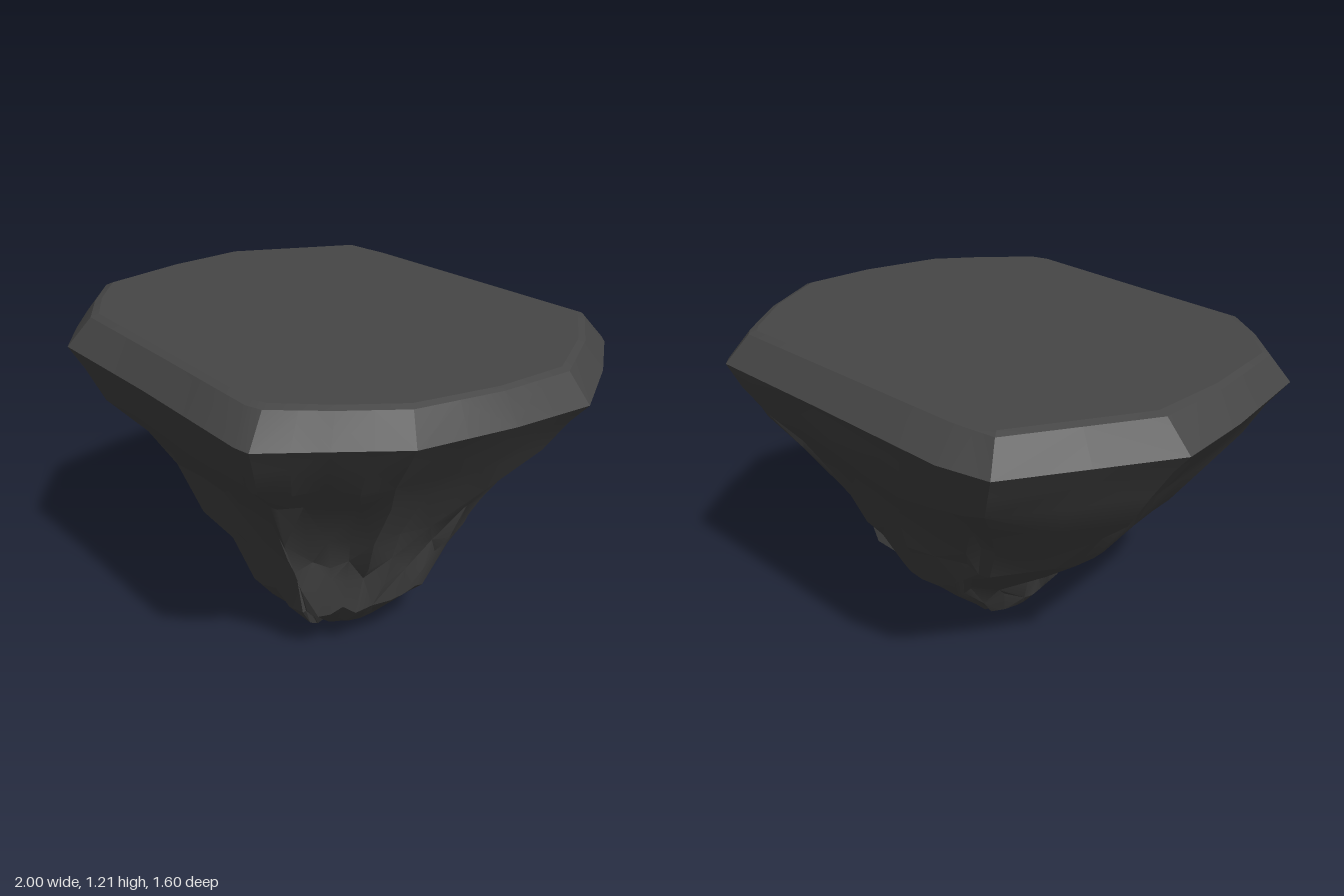
import * as THREE from 'three';
import { toCreasedNormals } from 'three/addons/utils/BufferGeometryUtils.js';

// Plan corners of the slab, clockwise seen from above
const rimPlan = [
  [-0.71, -0.74], [-0.52, -0.785], [0.1, -0.79], [0.61, -0.8], [0.65, -0.765], [0.83, -0.53],
  [1, -0.25], [0.97, 0.05], [0.9, 0.4], [0.75, 0.6], [0.61, 0.79], [0.55, 0.8],
  [0, 0.78], [-0.53, 0.775], [-0.7, 0.65], [-0.87, 0.51], [-0.96, 0.1], [-1, -0.2],
];

// Matching corners of the flat top inside the bevel
const topPlan = [
  [-0.64, -0.65], [-0.48, -0.665], [0.1, -0.68], [0.56, -0.69], [0.6, -0.66], [0.76, -0.47],
  [0.9, -0.22], [0.89, 0.05], [0.82, 0.35], [0.69, 0.53], [0.55, 0.68], [0.49, 0.7],
  [0, 0.68], [-0.49, 0.66], [-0.65, 0.56], [-0.8, 0.43], [-0.86, 0.1], [-0.87, -0.2],
];

// Sections from rim to tip: y, left x, right x, back z, front z, roughness, roundness
const sections = [
  [1.1, -1, 1, -0.8, 0.8, 0, 0],
  [1.02, -0.94, 0.94, -0.77, 0.765, 0.01, 0],
  [0.9, -0.855, 0.85, -0.725, 0.71, 0.025, 0],
  [0.77, -0.755, 0.76, -0.63, 0.605, 0.04, 0.05],
  [0.6, -0.625, 0.625, -0.515, 0.51, 0.05, 0.1],
  [0.45, -0.5, 0.545, -0.45, 0.44, 0.05, 0.2],
  [0.35, -0.33, 0.495, -0.41, 0.41, 0.05, 0.3],
  [0.22, -0.19, 0.435, -0.32, 0.37, 0.05, 0.35],
  [0.12, -0.13, 0.34, -0.205, 0.285, 0.04, 0.4],
  [0.04, -0.07, 0.24, -0.125, 0.205, 0.02, 0.4],
  [0.01, 0.0, 0.13, -0.05, 0.12, 0, 0.4],
];

function seeded(seed) {
  return () => {
    seed = (seed * 16807) % 2147483647;
    return seed / 2147483647;
  };
}

// Plan corners with a midpoint on every edge
function outline(plan) {
  return plan.flatMap(([x, z], i) => {
    const [nextX, nextZ] = plan[(i + 1) % plan.length];
    return [[x, z], [(x + nextX) / 2, (z + nextZ) / 2]];
  });
}

// Fit the rim outline into one section, rounding and roughening it
function makeRing([y, left, right, back, front, rough, round], random) {
  return outline(rimPlan).map(([px, pz]) => {
    const u = px, v = pz / 0.8;
    const scale = THREE.MathUtils.lerp(1, 1 / Math.hypot(u, v), round) * (1 - rough * random());
    return new THREE.Vector3(
      THREE.MathUtils.lerp(left, right, (u * scale + 1) / 2),
      y + (random() - 0.5) * rough * 1.2,
      THREE.MathUtils.lerp(back, front, (v * scale + 1) / 2),
    );
  });
}

// Wall through rings listed from top to bottom
function wall(rings) {
  const out = [];
  for (let i = 0; i < rings.length - 1; i++) {
    const up = rings[i], down = rings[i + 1];
    up.forEach((a, j) => {
      const k = (j + 1) % up.length;
      const b = up[k], c = down[j], d = down[k];
      if ((i + j) % 2) out.push(a, b, c, b, d, c);
      else out.push(a, b, d, a, d, c);
    });
  }
  return out;
}

// Fan closing a ring at a centre point
function cap(ring, centre, facingUp) {
  return ring.flatMap((p, j) => {
    const q = ring[(j + 1) % ring.length];
    return facingUp ? [centre, q, p] : [centre, p, q];
  });
}

export function createModel() {
  const group = new THREE.Group();
  group.name = 'floatingRock';
  const material = new THREE.MeshStandardMaterial({ color: 0x464646 });
  const addPart = (name, points) => {
    const geometry = new THREE.BufferGeometry().setFromPoints(points);
    const mesh = new THREE.Mesh(toCreasedNormals(geometry, 0.3), material);
    mesh.name = name;
    group.add(mesh);
  };

  const random = seeded(4127);
  const rings = sections.map((section) => makeRing(section, random));
  const edge = outline(topPlan).map(([x, z]) => new THREE.Vector3(x, 1.21, z));
  const shoulder = edge.map((p, j) => p.clone().lerp(rings[0][j], 0.25).setY(1.2));

  // Flat top, bevelled rim and craggy underside
  addPart('topSurface', cap(edge, new THREE.Vector3(0, 1.21, 0), true));
  addPart('bevelledRim', wall([edge, shoulder, rings[0]]));
  addPart('underside', [
    ...wall(rings),
    ...cap(rings[rings.length - 1], new THREE.Vector3(0.06, 0, 0.04), false),
  ]);
  return group;
}
